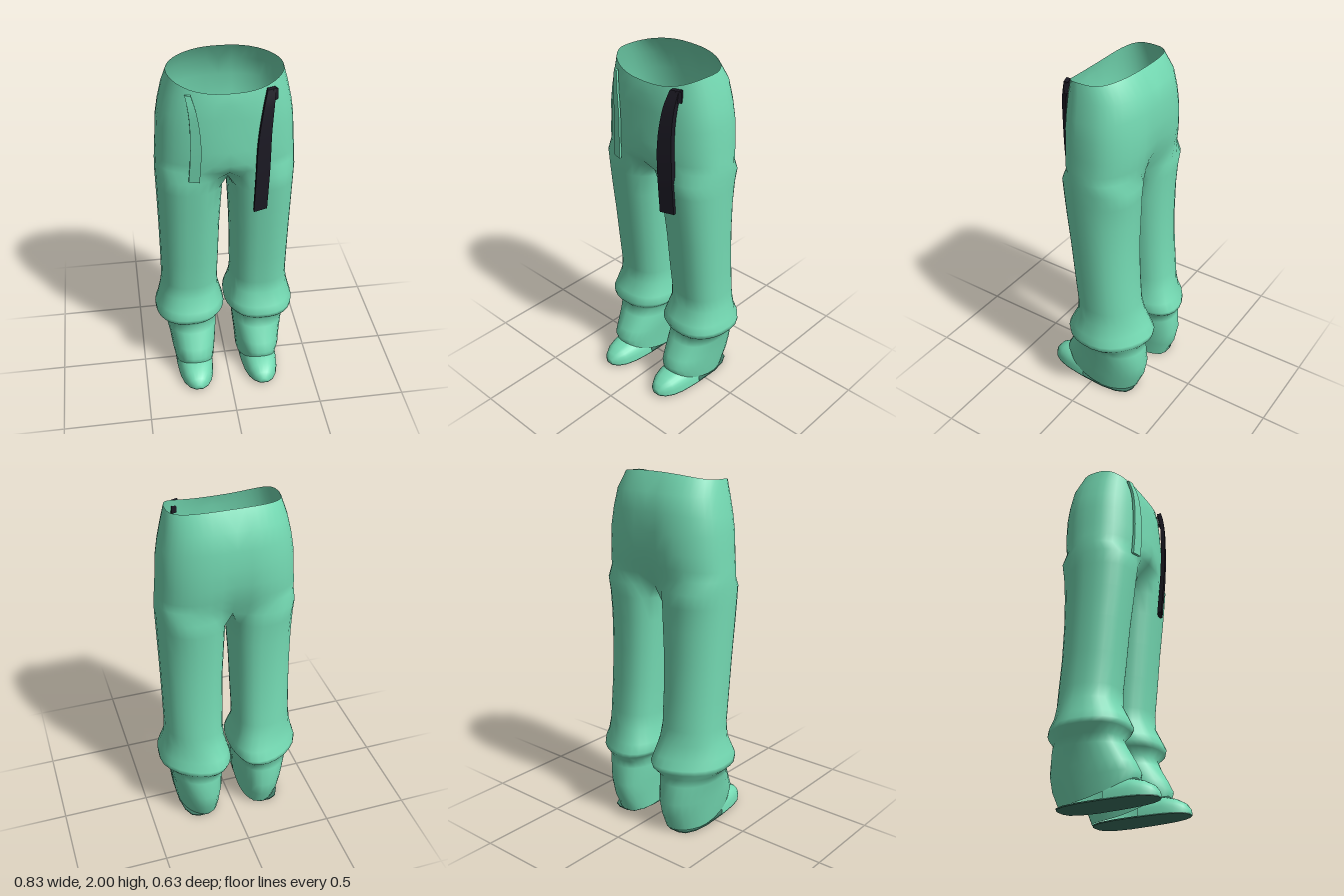
import * as THREE from 'three';
import { mergeVertices } from 'three/addons/utils/BufferGeometryUtils.js';

const OUTER = 20, INNER = 8, COUNT = OUTER + INNER;
const spow = (v, e) => Math.sign(v) * Math.abs(v) ** e;
const lerp = THREE.MathUtils.lerp;

// Hip sections: front, side and back heights, half width, front z, back z, centre front z, centre back z
const HIPS = [
  [1.90, 1.965, 2.00, 0.300, 0.180, -0.175, 0.180, -0.175],
  [1.84, 1.88, 1.90, 0.325, 0.193, -0.235, 0.195, -0.230],
  [1.76, 1.78, 1.80, 0.348, 0.197, -0.252, 0.200, -0.245],
  [1.68, 1.69, 1.70, 0.362, 0.200, -0.262, 0.205, -0.250],
  [1.58, 1.58, 1.60, 0.368, 0.200, -0.264, 0.212, -0.240],
  [1.50, 1.50, 1.52, 0.375, 0.198, -0.258, 0.212, -0.220],
  [1.45, 1.45, 1.46, 0.378, 0.192, -0.250, 0.190, -0.195],
];
// Leg sections: front height, back height, inner x, outer x, front z, back z, back roundness
const LEGS = [
  [1.39, 1.39, 0.000, 0.380, 0.186, -0.237, 0.85],
  [1.31, 1.31, 0.012, 0.378, 0.177, -0.230, 0.88],
  [1.18, 1.18, 0.020, 0.375, 0.163, -0.225, 0.9],
  [1.00, 1.00, 0.030, 0.372, 0.140, -0.222, 0.9],
  [0.80, 0.80, 0.035, 0.370, 0.120, -0.230, 0.9],
  [0.62, 0.62, 0.040, 0.370, 0.100, -0.245, 0.9],
  [0.54, 0.54, 0.035, 0.380, 0.102, -0.260, 0.95],
  [0.46, 0.46, 0.015, 0.400, 0.142, -0.290, 1],
  [0.42, 0.41, 0.002, 0.414, 0.160, -0.316, 1],
  [0.39, 0.385, 0.020, 0.414, 0.150, -0.316, 1],
  [0.35, 0.34, 0.058, 0.368, 0.115, -0.280, 0.95],
  [0.30, 0.30, 0.050, 0.355, 0.138, -0.284, 0.9],
  [0.21, 0.19, 0.060, 0.336, 0.190, -0.300, 0.9],
  [0.16, 0.10, 0.068, 0.328, 0.215, -0.284, 0.9],
  [0.125, 0.008, 0.076, 0.312, 0.205, -0.245, 0.9],
];

// Half of the hips, open at the centre line, from front to back
function hipRing([yf, ys, yb, w, zf, zb, cf, cb]) {
  const ring = [];
  for (let j = 0; j <= OUTER; j++) {
    const t = Math.PI * j / OUTER, s = Math.sin(t), c = Math.cos(t);
    const end = j === 0 || j === OUTER;
    const e = c > 0 ? 0.78 : 0.85;
    const x = end ? 0 : w * s ** e;
    let z = (zf + zb) / 2 + (zf - zb) / 2 * spow(c, e);
    z += (c > 0 ? cf - zf : cb - zb) * (1 - s) ** 4;
    ring.push([x, lerp(ys, c > 0 ? yf : yb, c * c), z]);
  }
  return ring;
}

// Closed leg section; the crotch section is pressed onto the centre line
function legRing([yf, yb, xi, xo, zf, zb, eb], row) {
  const ring = [];
  for (let j = 0; j < COUNT; j++) {
    const deg = j <= OUTER ? -50 + 280 * j / OUTER : 230 + 80 * (j - OUTER) / INNER;
    const a = THREE.MathUtils.degToRad(deg);
    const e = Math.cos(a) > 0 ? 0.84 : eb;
    const c = spow(Math.cos(a), e);
    let x = (xi + xo) / 2 + (xo - xi) / 2 * spow(Math.sin(a), e);
    if (row === 0 && (j === 0 || j >= OUTER)) x = 0;
    // the rounder sections lean inwards at the back
    if (c < 0) x = Math.max(xi, x - 0.4 * (eb - 0.85) * c * c);
    // the hem rises over the foot
    const k = ((c + 1) / 2) ** (row === LEGS.length - 1 ? 2.6 : 1);
    ring.push([x, lerp(yb, yf, k), (zf + zb) / 2 + (zf - zb) / 2 * c]);
  }
  return ring;
}

function trousersGeometry() {
  const rings = [...HIPS.map(hipRing), ...LEGS.map(legRing)];
  const pos = [], index = [];
  for (const side of [1, -1]) {
    const starts = rings.map((ring) => {
      const start = pos.length / 3;
      ring.forEach(([x, y, z]) => pos.push(x * side, y, z));
      return start;
    });
    for (let i = 0; i < rings.length - 1; i++) {
      const columns = i < HIPS.length ? OUTER : COUNT;
      for (let j = 0; j < columns; j++) {
        const n = (j + 1) % COUNT;
        const a = starts[i] + j, b = starts[i + 1] + j;
        const c = starts[i + 1] + n, d = starts[i] + n;
        if (side > 0) index.push(a, b, c, a, c, d);
        else index.push(a, c, b, a, d, c);
      }
    }
  }
  const g = new THREE.BufferGeometry();
  g.setAttribute('position', new THREE.Float32BufferAttribute(pos, 3));
  g.setIndex(index);
  const welded = mergeVertices(g, 1e-5);
  welded.computeVertexNormals();
  return welded;
}

// Foot outline: z, half width
const HEEL = [[-0.243, 0.03], [-0.225, 0.07], [-0.17, 0.098], [-0.08, 0.112]];
// Toe cap stations: z, half width, top height
const TOE = [
  [0.06, 0.110, 0.118], [0.12, 0.106, 0.125], [0.19, 0.098, 0.122],
  [0.25, 0.082, 0.105], [0.295, 0.055, 0.08], [0.318, 0.022, 0.05],
];
const SHOE_X = 0.197;
const soleY = (z) => 0.007 + 0.03 * (z + 0.245);

function toeGeometry() {
  const pos = [], index = [], n = 12;
  TOE.forEach(([z, w, h]) => {
    for (let j = 0; j <= n; j++) {
      const a = Math.PI * j / n;
      pos.push(w * spow(Math.cos(a), 0.8), lerp(soleY(z), h, Math.sin(a) ** 0.8), z);
    }
  });
  for (let i = 0; i < TOE.length - 1; i++) {
    for (let j = 0; j < n; j++) {
      const a = i * (n + 1) + j, b = a + n + 1;
      index.push(a, a + 1, b + 1, a, b + 1, b);
    }
  }
  // close the tip
  const tip = (TOE.length - 1) * (n + 1);
  for (let j = 1; j < n; j++) index.push(tip, tip + j, tip + j + 1);
  const g = new THREE.BufferGeometry();
  g.setAttribute('position', new THREE.Float32BufferAttribute(pos, 3));
  g.setIndex(index);
  g.computeVertexNormals();
  return g;
}

// Thin sole that rises slightly to the toe
function soleGeometry() {
  const edge = (s) => [...HEEL, ...TOE].map(([z, w]) => new THREE.Vector2(s * w, -z));
  const shape = new THREE.Shape([...edge(1), ...edge(-1).reverse()]);
  const g = new THREE.ExtrudeGeometry(shape, { depth: 0.007, bevelEnabled: false });
  g.rotateX(-Math.PI / 2);
  const p = g.attributes.position;
  for (let i = 0; i < p.count; i++) p.setY(i, p.getY(i) + soleY(p.getZ(i)) - 0.007);
  return g;
}

// Flat band that follows a curve downwards, turned to lie along the cloth
function strapGeometry(points, topWidth, endWidth, thickness, slant) {
  const curve = new THREE.CatmullRomCurve3(points.map((p) => new THREE.Vector3(...p)));
  const g = new THREE.BoxGeometry(1, 1, thickness, 1, 12, 1);
  const p = g.attributes.position;
  for (let i = 0; i < p.count; i++) {
    const u = 0.5 - p.getY(i), c = curve.getPoint(u);
    const dx = p.getX(i) * lerp(topWidth, endWidth, Math.min(1, u * 1.6));
    p.setXYZ(i, c.x + dx, c.y, c.z + p.getZ(i) - slant * dx);
  }
  g.computeVertexNormals();
  return g;
}

export function createModel() {
  const fabric = new THREE.MeshStandardMaterial({ color: 0x74dab3, side: THREE.DoubleSide });
  fabric.name = 'mint fabric';
  const black = new THREE.MeshStandardMaterial({ color: 0x1c1a24 });
  black.name = 'black strap';
  const dark = new THREE.MeshStandardMaterial({ color: 0x3f7864 });
  dark.name = 'dark green sole';

  const model = new THREE.Group();
  model.name = 'trousers';
  const add = (name, geometry, material, x = 0, y = 0, z = 0) => {
    const mesh = new THREE.Mesh(geometry, material);
    mesh.name = name;
    mesh.position.set(x, y, z);
    model.add(mesh);
    return mesh;
  };

  add('trouserBody', trousersGeometry(), fabric);

  // Shoes
  const toe = toeGeometry(), sole = soleGeometry();
  for (const [name, s] of [['left', 1], ['right', -1]]) {
    add(name + 'ToeCap', toe, fabric, s * SHOE_X);
    add(name + 'Sole', sole, dark, s * SHOE_X);
  }

  // Hanging straps
  add('leftStrap', strapGeometry([
    [0.210, 1.912, 0.172], [0.194, 1.82, 0.196], [0.177, 1.66, 0.208],
    [0.172, 1.45, 0.203], [0.167, 1.20, 0.180]], 0.045, 0.076, 0.026, 0.35), black);
  const loop = add('leftStrapLoop', new THREE.BoxGeometry(0.035, 0.06, 0.03), black, 0.222, 1.878, 0.165);
  loop.rotation.y = 0.5;
  add('rightStrap', strapGeometry([
    [-0.208, 1.90, 0.170], [-0.190, 1.82, 0.193], [-0.178, 1.70, 0.202],
    [-0.178, 1.56, 0.204], [-0.188, 1.415, 0.198]], 0.03, 0.055, 0.014, -0.3), fabric);

  return model;
}
